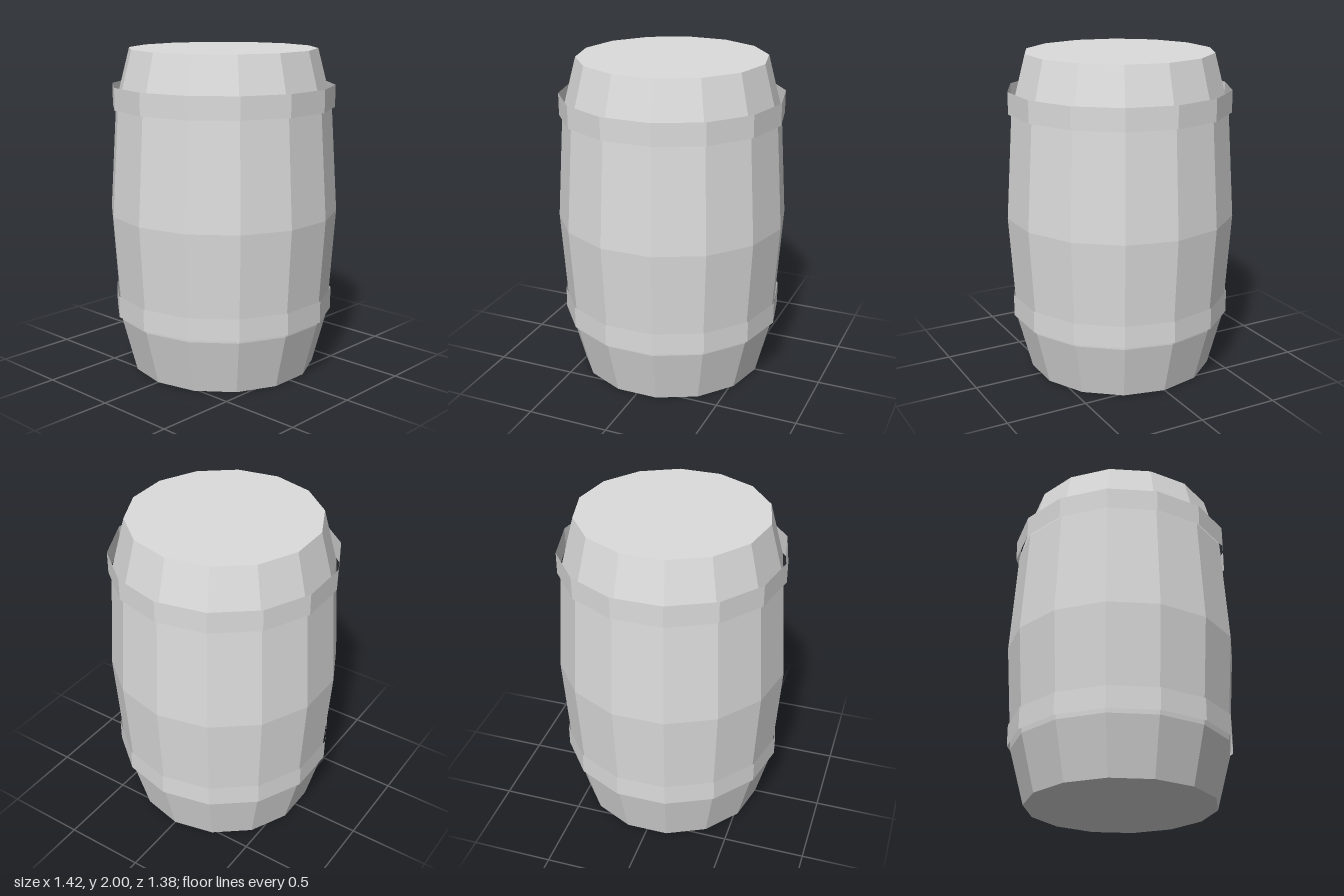
import * as THREE from 'three';

const SIDES = 14;
const HALF_STEP = Math.PI / SIDES; // puts a flat side at the front

export function createModel() {
  const barrel = new THREE.Group();
  barrel.name = 'barrel';

  const paleGrey = new THREE.MeshStandardMaterial({ color: 0xdcdcdc, flatShading: true, side: THREE.DoubleSide });
  paleGrey.name = 'paleGrey';

  const add = (name, geometry, y = 0) => {
    const mesh = new THREE.Mesh(geometry, paleGrey);
    mesh.name = name;
    mesh.position.y = y;
    barrel.add(mesh);
  };

  // Bulging staves with closed flat ends, turned from one profile
  const profile = [[0, 0], [0.578, 0], [0.667, 0.34], [0.71, 1], [0.667, 1.66], [0.578, 2], [0, 2]]
    .map(([r, y]) => new THREE.Vector2(r, y));
  add('barrelBody', new THREE.LatheGeometry(profile, SIDES, HALF_STEP));

  // Two thin open hoops, standing slightly clear of the body
  const hoop = new THREE.CylinderGeometry(0.687, 0.687, 0.135, SIDES, 1, true, HALF_STEP);
  add('lowerHoop', hoop, 0.427);
  add('upperHoop', hoop, 1.713);

  return barrel;
}
